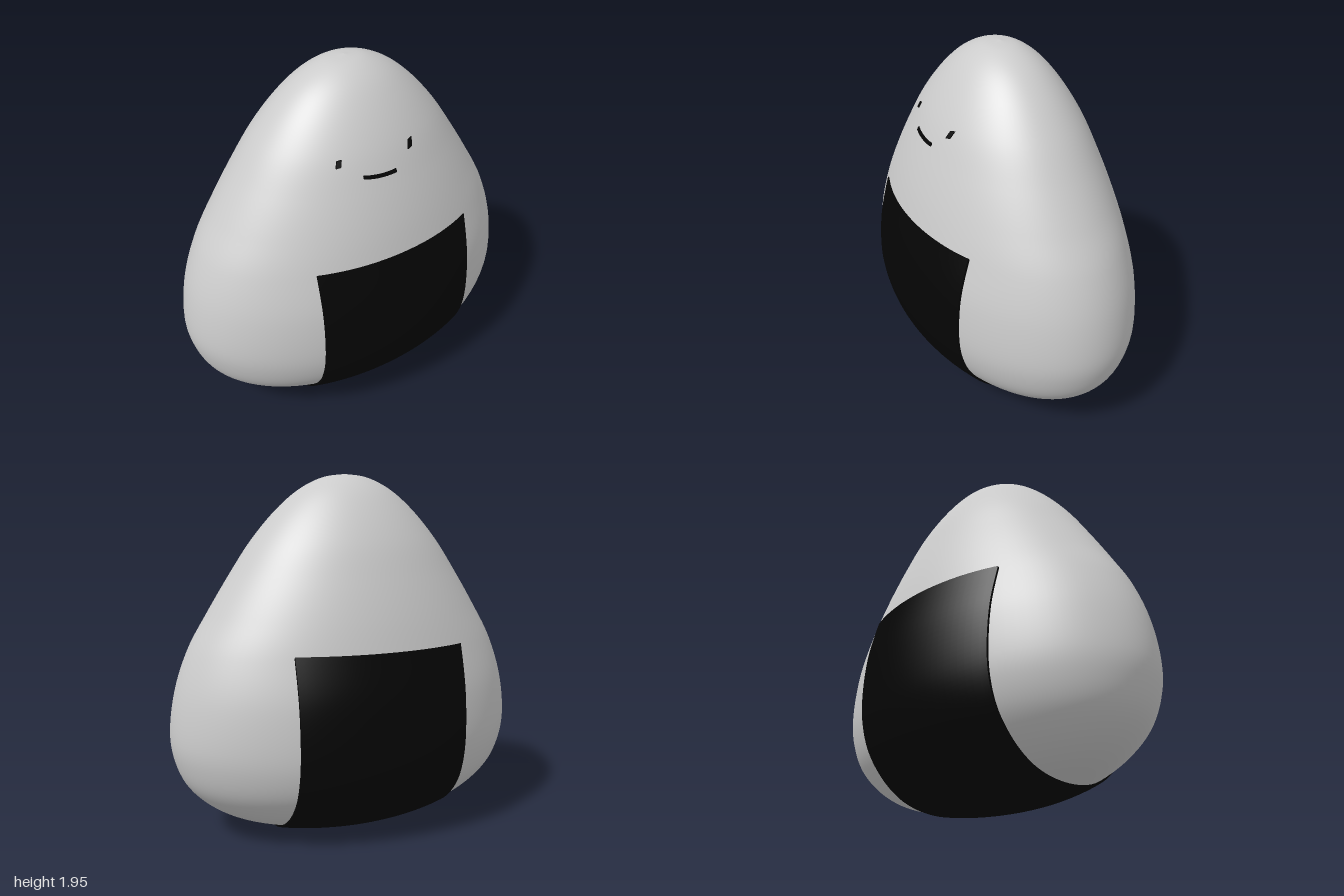
import * as THREE from 'three';

// Body outline from bottom to top: half width, height, half depth
const outline = new THREE.CatmullRomCurve3([
  [0, 0.012, 0], [0.24, 0.02, 0.14], [0.47, 0.047, 0.27], [0.68, 0.108, 0.38],
  [0.83, 0.2, 0.48], [0.93, 0.31, 0.555], [0.98, 0.43, 0.595], [1, 0.56, 0.61],
  [0.97, 0.8, 0.6], [0.89, 1.03, 0.555], [0.78, 1.22, 0.51], [0.66, 1.41, 0.45],
  [0.53, 1.6, 0.375], [0.38, 1.77, 0.275], [0.25, 1.875, 0.185],
  [0.12, 1.935, 0.092], [0, 1.952, 0],
].map((p) => new THREE.Vector3(...p)), false, 'centripetal').getPoints(160);

// Half width and half depth at a height
function sizeAt(y) {
  let i = 1;
  while (i < outline.length - 1 && outline[i].y < y) i++;
  const a = outline[i - 1], b = outline[i];
  return a.clone().lerp(b, THREE.MathUtils.clamp((y - a.y) / (b.y - a.y), 0, 1));
}

// Depth of the front surface at x, y
function frontZ(x, y) {
  const s = sizeAt(y);
  return s.z * Math.sqrt(Math.max(0, 1 - (x / s.x) ** 2));
}

// Distance from the core line (y = 0.56, z = 0) to the surface in the slice at x
function radiusAt(x, angle) {
  let lo = 0, hi = 1.5;
  for (let i = 0; i < 24; i++) {
    const r = (lo + hi) / 2;
    const y = 0.56 + r * Math.sin(angle), z = Math.abs(r * Math.cos(angle));
    const inside = y > outline[0].y && y < 1.95 && z < frontZ(x, y);
    if (inside) lo = r; else hi = r;
  }
  return lo;
}

// Elliptical cross-sections stacked along the outline
function bodyGeometry(sides = 96) {
  const pos = [], index = [];
  outline.forEach((p) => {
    for (let i = 0; i < sides; i++) {
      const a = (i / sides) * Math.PI * 2;
      pos.push(p.x * Math.sin(a), p.y, p.z * Math.cos(a));
    }
  });
  for (let j = 0; j < outline.length - 1; j++) {
    for (let i = 0; i < sides; i++) {
      const a = j * sides + i, b = j * sides + ((i + 1) % sides);
      if (j > 0) index.push(a, b, b + sides);
      if (j < outline.length - 2) index.push(a, b + sides, a + sides);
      else index.push(a, b, a + sides);
    }
  }
  const g = new THREE.BufferGeometry();
  g.setAttribute('position', new THREE.Float32BufferAttribute(pos, 3));
  g.setIndex(index);
  g.computeVertexNormals();
  return g;
}

// Move every vertex of a unit box by a rule
function bentBox(nx, ny, rule) {
  const g = new THREE.BoxGeometry(1, 1, 1, nx, ny, 1);
  const p = g.attributes.position;
  for (let i = 0; i < p.count; i++) p.setXYZ(i, ...rule(p.getX(i), p.getY(i), p.getZ(i)));
  g.computeVertexNormals();
  return g;
}

// Wrap passing from the front, under the body, and up the back
function wrapGeometry() {
  return bentBox(24, 96, (u, v, w) => {
    const x = u * 0.95;
    const top = Math.atan2(1.05 - 0.56, frontZ(x, 1.05));
    const angle = -Math.PI / 2 + v * (Math.PI + 2 * top);
    const r = radiusAt(x, angle) + w * 0.024;
    return [x, 0.56 + r * Math.sin(angle), r * Math.cos(angle)];
  });
}

// Small mark lying on the front surface
function markGeometry(cx, cy, width, height, skew, sag, tilt) {
  return bentBox(10, 2, (u, v, w) => {
    const x = cx + u * width + v * skew;
    const y = cy + v * height + u * tilt - sag * (1 - 4 * u * u);
    return [x, y, frontZ(x, y) + w * 0.014];
  });
}

export function createModel() {
  const group = new THREE.Group();
  const rice = new THREE.MeshStandardMaterial({ color: 0xcccccc });
  const black = new THREE.MeshStandardMaterial({ color: 0x050505 });
  const add = (name, geometry, material) => {
    const mesh = new THREE.Mesh(geometry, material);
    mesh.name = name;
    group.add(mesh);
  };

  add('riceBody', bodyGeometry(), rice);
  add('seaweedWrap', wrapGeometry(), black);

  // Face
  add('rightEye', markGeometry(-0.262, 1.572, 0.024, 0.032, 0.012, 0, 0.004), black);
  add('leftEye', markGeometry(0.144, 1.575, 0.028, 0.04, 0.014, 0, 0.006), black);
  add('mouth', markGeometry(-0.065, 1.487, 0.185, 0.016, 0, 0.006, -0.012), black);
  return group;
}
